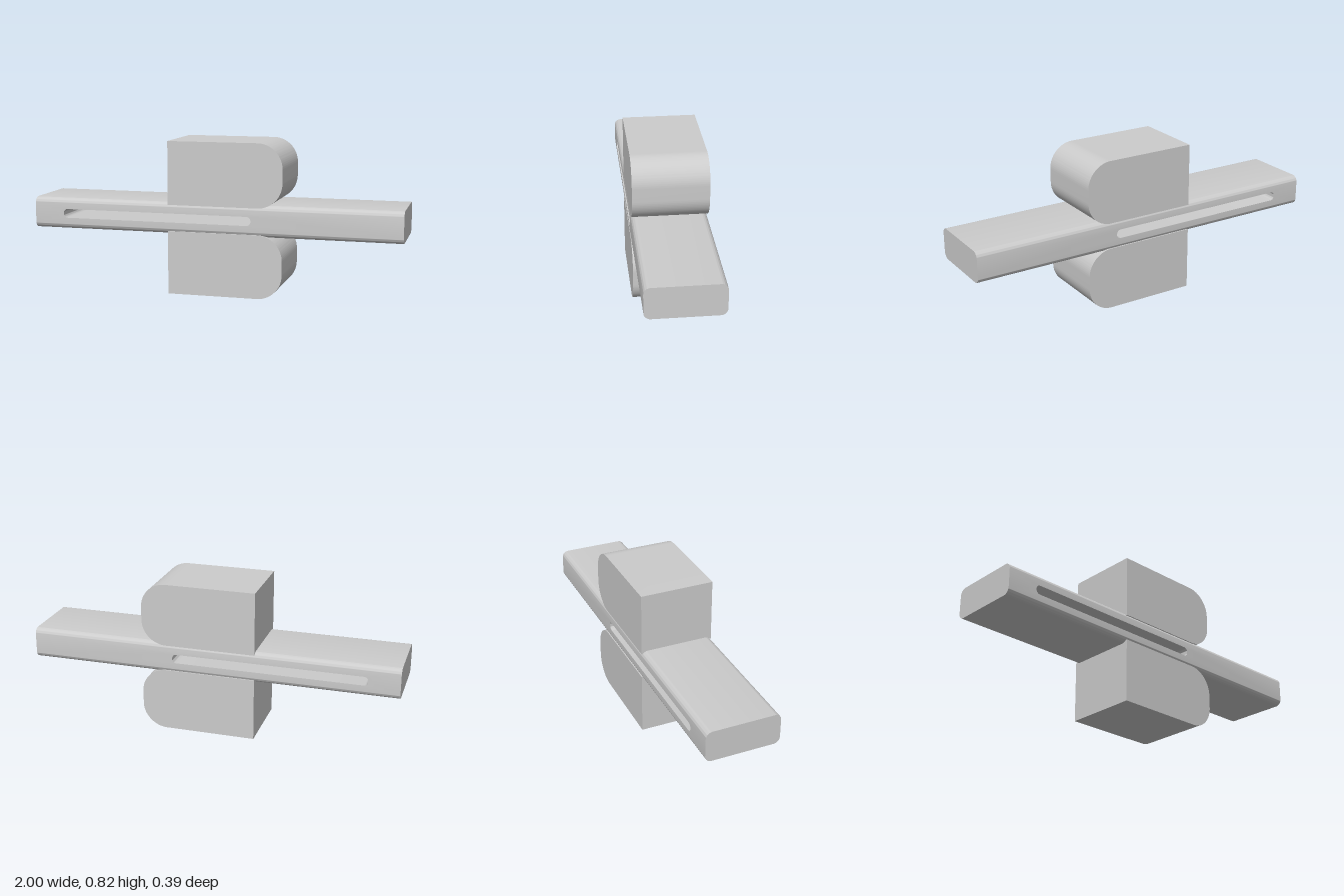
import * as THREE from 'three';
import { toCreasedNormals } from 'three/addons/utils/BufferGeometryUtils.js';

const material = new THREE.MeshStandardMaterial({ color: 0xcccccc });
const HALF_DEPTH = 0.197;

// Rectangle outline with separate corner radii on its left and right ends
function roundedRect(path, x0, y0, x1, y1, rLeft, rRight) {
  const q = Math.PI / 2;
  const corner = (x, y, r, start) => {
    path.lineTo(x + r * Math.cos(start), y + r * Math.sin(start));
    if (r > 0) path.absarc(x, y, r, start, start + q, false);
  };
  path.moveTo(x0 + rLeft, y0);
  corner(x1 - rRight, y0 + rRight, rRight, -q);
  corner(x1 - rRight, y1 - rRight, rRight, 0);
  corner(x0 + rLeft, y1 - rLeft, rLeft, q);
  corner(x0 + rLeft, y0 + rLeft, rLeft, 2 * q);
  return path;
}

function addMesh(group, name, geometry, y) {
  const mesh = new THREE.Mesh(toCreasedNormals(geometry, 0.5), material);
  mesh.name = name;
  mesh.position.y = y;
  group.add(mesh);
}

// Bar with a through slot; its long edges are rounded by moving the extrusion layers
function barGeometry() {
  const h = 0.084, r = 0.034, n = 20, steps = 2 * n + 1;
  const shape = roundedRect(new THREE.Shape(), -1, -h, 1, h, 0, 0);
  shape.holes.push(roundedRect(new THREE.Path(), -0.835, -0.024, 0.21, 0.024, 0.022, 0.022));
  const geometry = new THREE.ExtrudeGeometry(shape, { depth: steps, steps, bevelEnabled: false, curveSegments: 8 });
  const p = geometry.attributes.position;
  for (let i = 0; i < p.count; i++) {
    const layer = Math.round(p.getZ(i));
    const side = layer <= n ? -1 : 1;
    const angle = (Math.min(layer, steps - layer) / n) * Math.PI / 2;
    p.setZ(i, side * (HALF_DEPTH - r + r * Math.cos(angle)));
    const y = p.getY(i);
    if (Math.abs(y) > h - 0.001) p.setY(i, Math.sign(y) * (h - r + r * Math.sin(angle)));
  }
  return geometry;
}

// Block with a square left end and a rounded right end
function blockGeometry() {
  const shape = roundedRect(new THREE.Shape(), -0.24, 0, 0.378, 0.338, 0, 0.133);
  const geometry = new THREE.ExtrudeGeometry(shape, { depth: 2 * HALF_DEPTH, bevelEnabled: false, curveSegments: 20 });
  return geometry.translate(0, 0, -HALF_DEPTH);
}

export function createModel() {
  const group = new THREE.Group();
  group.name = 'slottedBarWithBlocks';
  addMesh(group, 'slottedBar', barGeometry(), 0.409);
  addMesh(group, 'lowerBlock', blockGeometry(), 0);
  addMesh(group, 'upperBlock', blockGeometry(), 0.479);
  return group;
}
